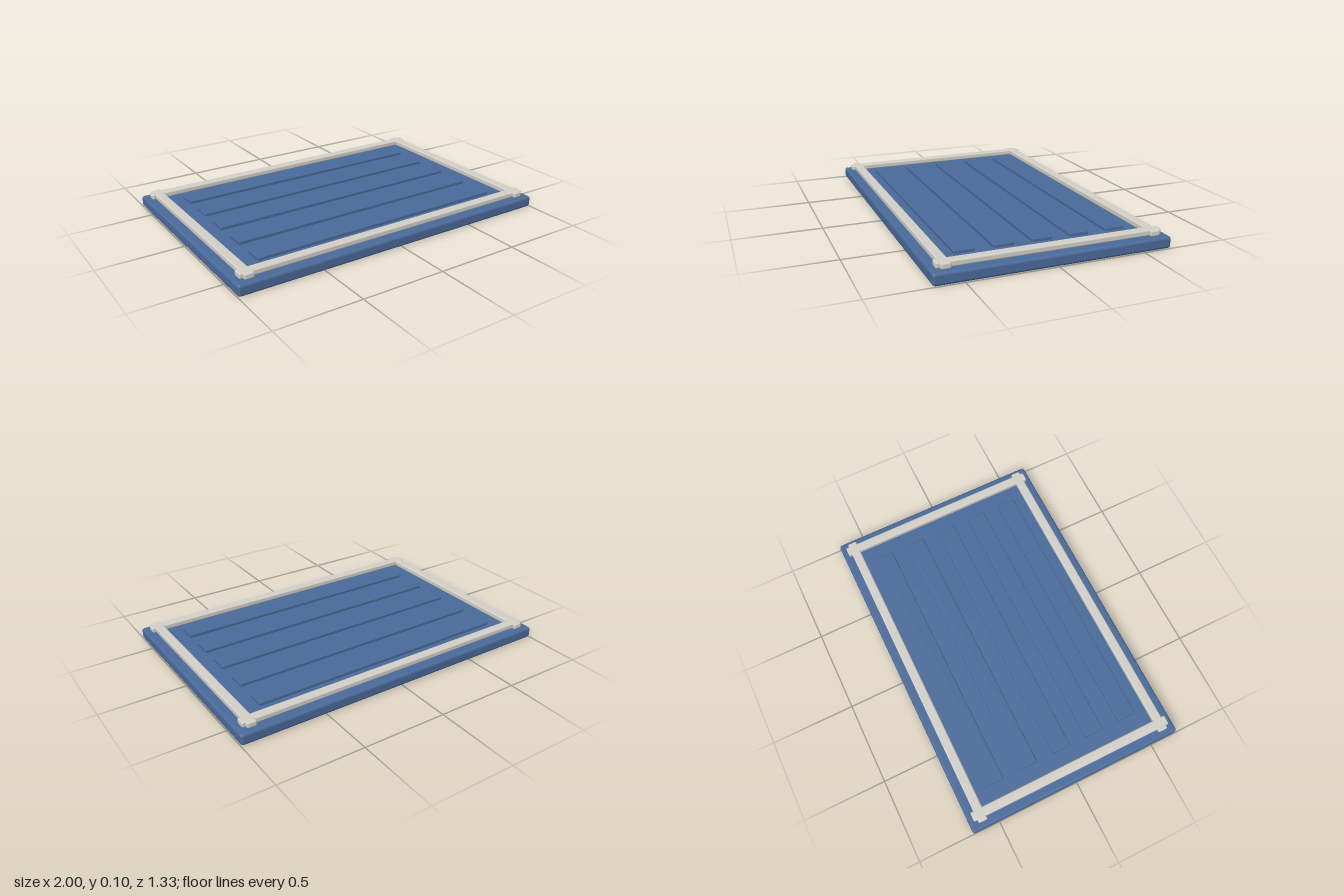
import * as THREE from 'three';
import { RoundedBoxGeometry } from 'three/addons/geometries/RoundedBoxGeometry.js';

const blue = new THREE.MeshStandardMaterial({ color: 0x4a6a9a });
const cream = new THREE.MeshStandardMaterial({ color: 0xd2d0c8 });

export function createModel() {
  const model = new THREE.Group();
  model.name = 'ribbedPanel';

  // Rounded bar spanning from y0 to y1, centred on (x, z)
  const bar = (name, material, [w, d], [y0, y1], [x, z], radius) => {
    const mesh = new THREE.Mesh(new RoundedBoxGeometry(w, y1 - y0, d, 2, radius), material);
    mesh.name = name;
    mesh.position.set(x, (y0 + y1) / 2, z);
    model.add(mesh);
  };

  // Base slab
  bar('baseSlab', blue, [2, 1.328], [0, 0.067], [0, 0], 0.016);

  // Raised ribs running along x
  for (let i = -2; i <= 2; i++) {
    bar('rib', blue, [1.6, 0.114], [0.055, 0.086], [0, i * 0.2165], 0.006);
  }

  // Frame rails, overlapping past each other at the corners
  for (const s of [-1, 1]) {
    bar(s > 0 ? 'frontRail' : 'backRail', cream, [1.932, 0.056], [0.066, 0.1], [0, s * 0.584], 0.009);
    bar(s > 0 ? 'leftRail' : 'rightRail', cream, [0.056, 1.264], [0.066, 0.1], [s * 0.919, 0], 0.009);
  }

  return model;
}
